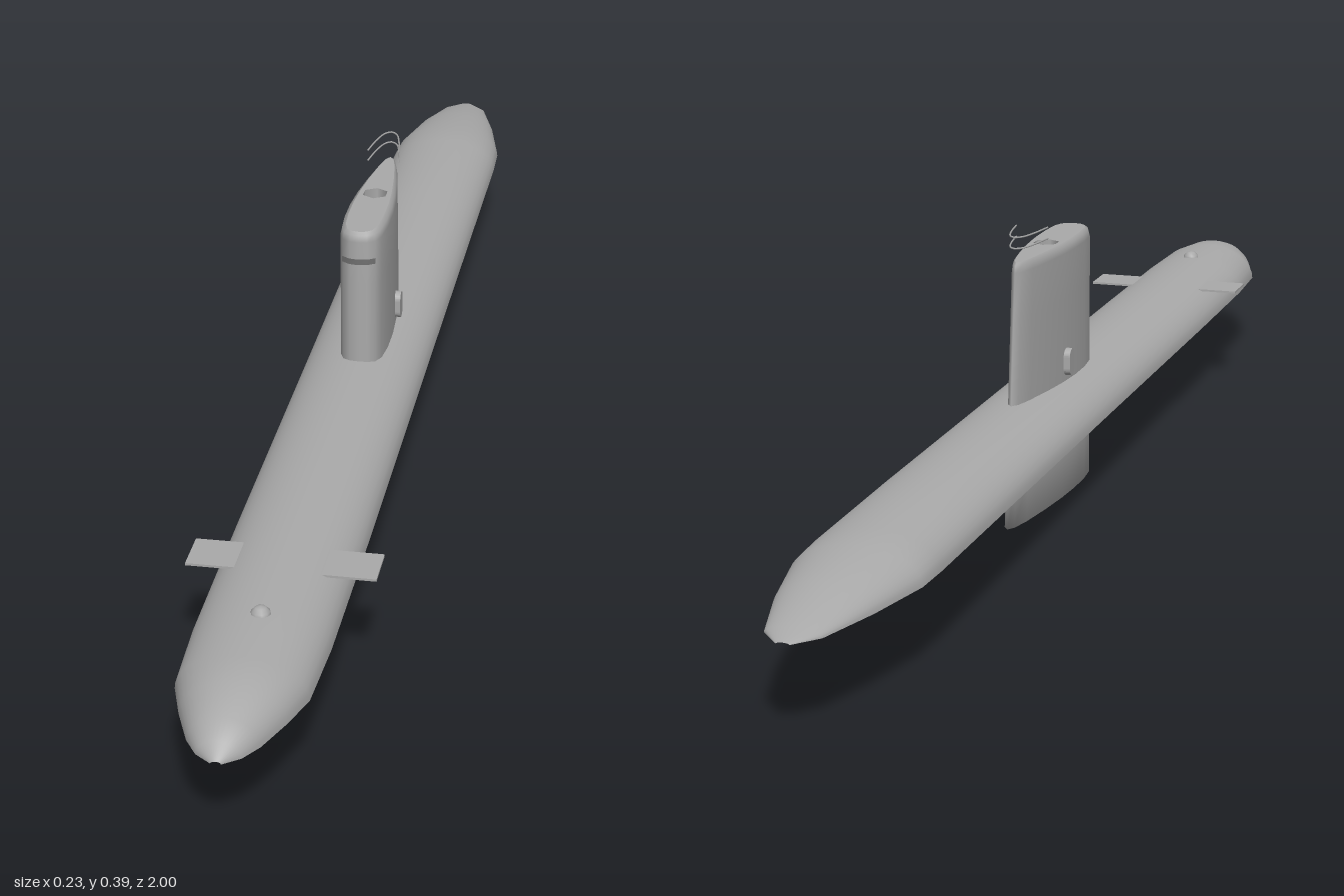
import * as THREE from 'three';

const gray = new THREE.MeshStandardMaterial({ color: 0xaaaaaa });
gray.name = 'hull gray';
const grayShell = new THREE.MeshStandardMaterial({ color: 0xaaaaaa, side: THREE.DoubleSide });
grayShell.name = 'hull gray shell';
const dark = new THREE.MeshStandardMaterial({ color: 0x707070, side: THREE.DoubleSide });
dark.name = 'window gray';

// Skin a list of equal-length rings; optionally close each ring and cap the first.
function loft(rings, closed = false, capFirst = false) {
  const n = rings[0].length, pos = rings.flat(2), index = [];
  const spans = closed ? n : n - 1;
  for (let i = 0; i < rings.length - 1; i++) {
    for (let j = 0; j < spans; j++) {
      const k = (j + 1) % n, a = i * n + j, b = i * n + k;
      index.push(a, b, b + n, a, b + n, a + n);
    }
  }
  if (capFirst) {
    const c = pos.length / 3;
    pos.push(0, rings[0][0][1], -0.03);
    for (let j = 0; j < n; j++) index.push(c, (j + 1) % n, j);
  }
  const g = new THREE.BufferGeometry();
  g.setAttribute('position', new THREE.Float32BufferAttribute(pos, 3));
  g.setIndex(index);
  g.computeVertexNormals();
  return g;
}

// Half outline of the sail seen from above: [x, z]
const half = [[0, 0.105], [0.012, 0.103], [0.022, 0.096], [0.028, 0.08], [0.031, 0.045], [0.031, 0],
  [0.028, -0.05], [0.022, -0.105], [0.014, -0.16], [0.007, -0.19], [0, -0.2]];
const outline = [...half, ...half.slice(1, -1).reverse().map(([x, z]) => [-x, z])];

// Sail ring at height y, with a raked trailing edge and an optional inset
function sailRing(y, inset = 0) {
  const back = (0.212 - 0.107 * y) / 0.2;
  const sx = 1 - inset / 0.031, sz = 1 - inset / 0.15;
  return outline.map(([x, z]) => [x * sx, y, ((z < 0 ? z * back : z) + 0.04) * sz - 0.04]);
}

export function createModel() {
  const model = new THREE.Group();
  const add = (name, geometry, material = gray, x = 0, y = 0, z = 0) => {
    const m = new THREE.Mesh(geometry, material);
    m.name = name;
    m.position.set(x, y, z);
    model.add(m);
    return m;
  };

  // Open upper hull shell: [z, half width, crown height]
  const sections = [[-1, 0.008, 0.002], [-0.97, 0.034, 0.009], [-0.88, 0.06, 0.03], [-0.78, 0.081, 0.042],
    [-0.72, 0.083, 0.046], [-0.5, 0.083, 0.05], [0, 0.083, 0.051], [0.5, 0.084, 0.051], [0.75, 0.083, 0.051],
    [0.86, 0.078, 0.051], [0.91, 0.062, 0.048], [0.96, 0.042, 0.035], [0.985, 0.026, 0.02], [1, 0.006, 0.003]];
  const rings = sections.map(([z, w, h]) => Array.from({ length: 21 }, (_, j) => {
    const t = Math.PI * j / 20;
    return [w * Math.cos(t) - 0.003, 0.115 + h * Math.sin(t), z];
  }));
  add('upperHull', loft(rings), grayShell);

  // Sail running through the hull down to the keel
  const levels = [0, 0.06, 0.12, 0.2, 0.28, 0.342].map((y) => sailRing(y));
  const topRing = sailRing(0.355, 0.007);
  add('sail', loft([...levels, sailRing(0.351, 0.002), topRing], true, true));

  // Sail roof with a hexagonal hatch well
  const roof = new THREE.Shape(topRing.map(([x, , z]) => new THREE.Vector2(x, -z)));
  const r = 0.018, hz = -0.035, depth = 0.02;
  const hex = Array.from({ length: 6 }, (_, i) => {
    const a = i * Math.PI / 3;
    return new THREE.Vector2(r * Math.sin(a), -(hz + r * Math.cos(a)));
  });
  roof.holes.push(new THREE.Path(hex));
  add('sailRoof', new THREE.ShapeGeometry(roof).rotateX(-Math.PI / 2), gray, 0, 0.355);
  add('hatchWall', new THREE.CylinderGeometry(r, r, depth, 6, 1, true), grayShell, 0, 0.355 - depth / 2, hz);
  add('hatchFloor', new THREE.ShapeGeometry(new THREE.Shape(hex)).rotateX(-Math.PI / 2), grayShell, 0, 0.355 - depth);

  // Bridge window wrapped around the leading edge
  const front = [...half.slice(1, 3).reverse().map(([x, z]) => [-x, z]), ...half.slice(0, 3)];
  const strip = (y) => front.map(([x, z]) => [x * 1.03, y, z + 0.0015]);
  add('bridgeWindow', loft([strip(0.31), strip(0.318)]), dark);

  // Two thin rails above the trailing edge
  const railPath = [[0.022, -0.1], [0.016, -0.14], [0.008, -0.168], [0, -0.175],
    [-0.008, -0.168], [-0.016, -0.14], [-0.022, -0.1]].map(([x, z]) => new THREE.Vector3(x, 0, z));
  const rail = new THREE.TubeGeometry(new THREE.CatmullRomCurve3(railPath), 24, 0.0012, 5);
  for (const y of [0.375, 0.39]) add('sternRail', rail, gray, 0, y);

  // Rounded side lamps and bow planes, mirrored
  const lampShape = new THREE.Shape();
  lampShape.absarc(0, 0.008, 0.011, 0, Math.PI);
  lampShape.absarc(0, -0.008, 0.011, Math.PI, 2 * Math.PI);
  const lamp = new THREE.ExtrudeGeometry(lampShape, { depth: 0.012, bevelEnabled: false, curveSegments: 8 });
  for (const s of [1, -1]) {
    add('sideLamp', lamp, gray, s * 0.025, 0.19, -0.035).rotation.y = s * Math.PI / 2;
    add('bowPlane', new THREE.BoxGeometry(0.069, 0.003, 0.06), gray, s * 0.0815, 0.1525, 0.62);
  }

  // Sonar dome on the foredeck
  add('sonarDome', new THREE.SphereGeometry(0.013, 10, 6), gray, 0, 0.162, 0.765);

  return model;
}
